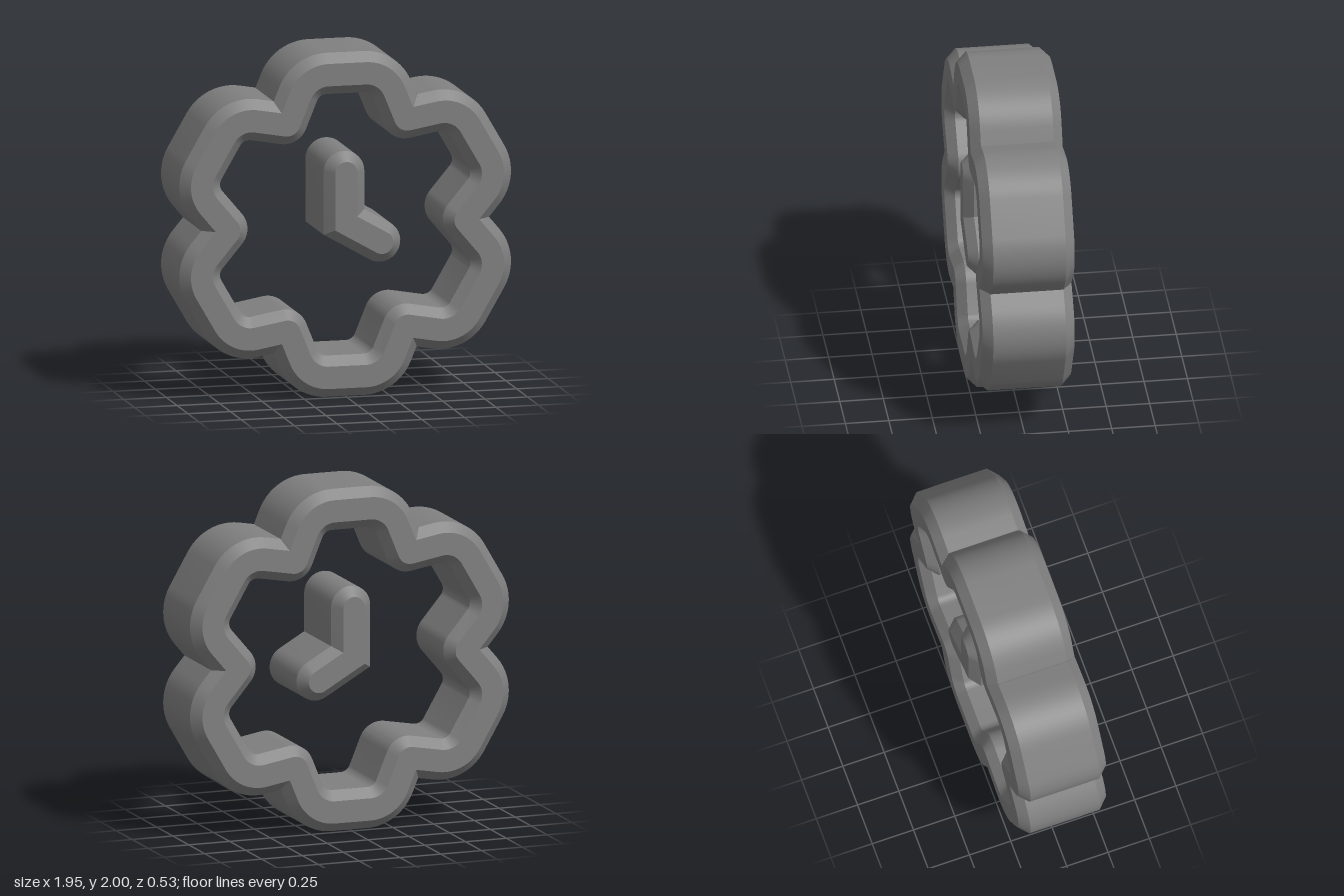
import * as THREE from 'three';
import { toCreasedNormals } from 'three/addons/utils/BufferGeometryUtils.js';

const HALF = 0.12;          // half the wall width
const FACE = 0.065;         // half the flat face inside the bevels
const Z = 0.265, ZB = 0.21; // face depth, bevel start

// Points on an arc from angle t0 to t1
function arc(cx, cy, r, t0, t1, n) {
  return Array.from({ length: n + 1 }, (_, i) => {
    const t = t0 + (t1 - t0) * i / n;
    return new THREE.Vector2(cx + r * Math.cos(t), cy + r * Math.sin(t));
  });
}

// One upright petal reaching out to the given distance, offset by d from the wall's centre line
function petalOutline(d, reach) {
  const a = 0.11, petalR = 0.18, b = reach - HALF - petalR; // petal shoulder
  const v = 0.71, valleyR = 0.015;                          // valley between petals
  const vx = v * 0.5, vy = v * Math.sqrt(0.75);
  const dx = vx - a, dy = vy - b;
  const dir = Math.atan2(dy, dx) - Math.asin((petalR + valleyR) / Math.hypot(dx, dy));
  const normal = dir + Math.PI / 2;
  const half = arc(a, b, petalR + d, Math.PI / 2, normal, 12);
  if (d < valleyR) {
    half.push(...arc(vx, vy, valleyR - d, normal + Math.PI, Math.PI * 4 / 3, 8));
  } else {
    // the outer offset meets its mirror image in a sharp cusp
    const p = half[half.length - 1], k = Math.sqrt(3);
    const t = (p.y - k * p.x) / (k * Math.cos(dir) - Math.sin(dir));
    const cusp = new THREE.Vector2(p.x + t * Math.cos(dir), p.y + t * Math.sin(dir));
    half.push(p.clone());
    for (let i = 0; i < 8; i++) half.push(cusp.clone());
  }
  return [...half].reverse().concat(half.map(p => new THREE.Vector2(-p.x, p.y)));
}

// Six petals; the four side ones reach slightly further than top and bottom
function flowerOutline(d) {
  const out = [];
  for (let k = 0; k < 6; k++) {
    const petal = petalOutline(d, k % 3 === 0 ? 1 : 1.018);
    petal.pop();
    for (const p of petal) out.push(p.rotateAround(new THREE.Vector2(), k * Math.PI / 3));
  }
  return out;
}

// Bent bar with round ends, offset by d from its centre line
function handsOutline(d) {
  const x = -0.007, bendY = 0.012, tilt = -Math.PI / 6;
  const mx = d, my = d / Math.sqrt(3);
  return [
    ...arc(x, 0.305, d, 0, Math.PI, 16),
    new THREE.Vector2(x - mx, bendY - my),
    ...arc(0.205, -0.11, d, tilt - Math.PI / 2, tilt + Math.PI / 2, 16),
    new THREE.Vector2(x + mx, bendY + my),
  ];
}

// Skin a closed outline along a section of [offset, z] pairs
function skin(outline, section) {
  const rings = section.map(([d, z]) => outline(d).map(p => new THREE.Vector3(p.x, p.y + 1, z)));
  const pos = [];
  const tri = (...t) => {
    if (new THREE.Triangle(...t).getArea() > 1e-8) t.forEach(p => pos.push(p.x, p.y, p.z));
  };
  for (let s = 0; s < rings.length - 1; s++) {
    const A = rings[s], B = rings[s + 1];
    for (let i = 0; i < A.length; i++) {
      const j = (i + 1) % A.length;
      tri(A[i], A[j], B[j]);
      tri(A[i], B[j], B[i]);
    }
  }
  const g = new THREE.BufferGeometry();
  g.setAttribute('position', new THREE.Float32BufferAttribute(pos, 3));
  return toCreasedNormals(g, 0.6);
}

export function createModel() {
  const group = new THREE.Group();
  const grey = new THREE.MeshStandardMaterial({ color: 0x808080 });
  grey.name = 'grey';

  const add = (name, outline, section) => {
    const mesh = new THREE.Mesh(skin(outline, section), grey);
    mesh.name = name;
    group.add(mesh);
  };

  // Bevelled flower-shaped ring
  add('flowerRing', flowerOutline, [
    [HALF, -ZB], [HALF, ZB], [FACE, Z], [-FACE, Z],
    [-HALF, ZB], [-HALF, -ZB], [-FACE, -Z], [FACE, -Z], [HALF, -ZB],
  ]);

  // Bevelled clock hands floating in the middle
  add('clockHands', handsOutline, [
    [0, -Z], [FACE, -Z], [HALF, -ZB], [HALF, ZB], [FACE, Z], [0, Z],
  ]);

  return group;
}
